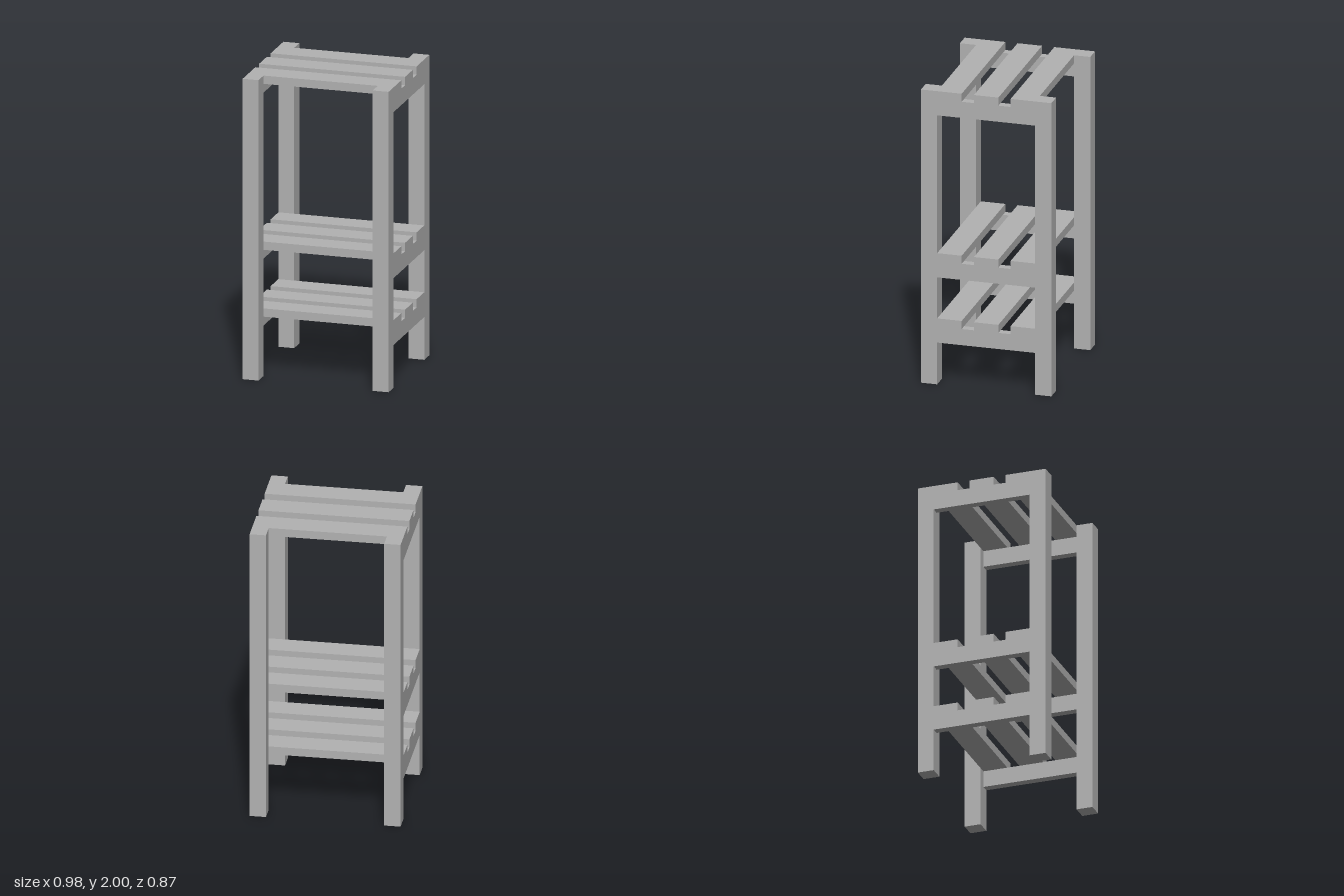
import * as THREE from 'three';

const HALF_W = 0.488, HALF_D = 0.434;   // outer half width and depth
const LEG_W = 0.106, LEG_D = 0.108;     // leg section
const RAIL_W = 0.054, RAIL_H = 0.11;    // side rail section
const SLAT_H = 0.055, SLAT_D = 0.163;   // slat section
const INNER_D = HALF_D - LEG_D;         // half gap between front and back legs

export function createModel() {
  const model = new THREE.Group();
  model.name = 'slattedShelfStand';
  const grey = new THREE.MeshStandardMaterial({ color: 0xb2b2b2 });
  grey.name = 'plain grey';

  function box(name, parent, w, h, d, x, y, z) {
    const mesh = new THREE.Mesh(new THREE.BoxGeometry(w, h, d), grey);
    mesh.name = name;
    mesh.position.set(x, y, z);
    parent.add(mesh);
  }

  // Four full-height corner legs
  for (const sx of [-1, 1]) {
    for (const sz of [-1, 1]) {
      const name = (sz > 0 ? 'front' : 'back') + (sx > 0 ? 'Left' : 'Right') + 'Leg';
      box(name, model, LEG_W, 2, LEG_D,
        sx * (HALF_W - LEG_W / 2), 1, sz * (HALF_D - LEG_D / 2));
    }
  }

  // Three shelves: two side rails carrying three slats each
  const shelves = [['lowerShelf', 0.45], ['middleShelf', 0.895], ['topShelf', 2]];
  for (const [name, top] of shelves) {
    const shelf = new THREE.Group();
    shelf.name = name;
    for (const sx of [-1, 1]) {
      box(sx > 0 ? 'leftRail' : 'rightRail', shelf, RAIL_W, RAIL_H, INNER_D * 2,
        sx * (HALF_W - RAIL_W / 2), top - SLAT_H - RAIL_H / 2, 0);
    }
    for (const i of [-1, 0, 1]) {
      box(['backSlat', 'middleSlat', 'frontSlat'][i + 1], shelf, HALF_W * 2, SLAT_H, SLAT_D,
        0, top - SLAT_H / 2, i * (INNER_D - SLAT_D / 2));
    }
    model.add(shelf);
  }
  return model;
}
